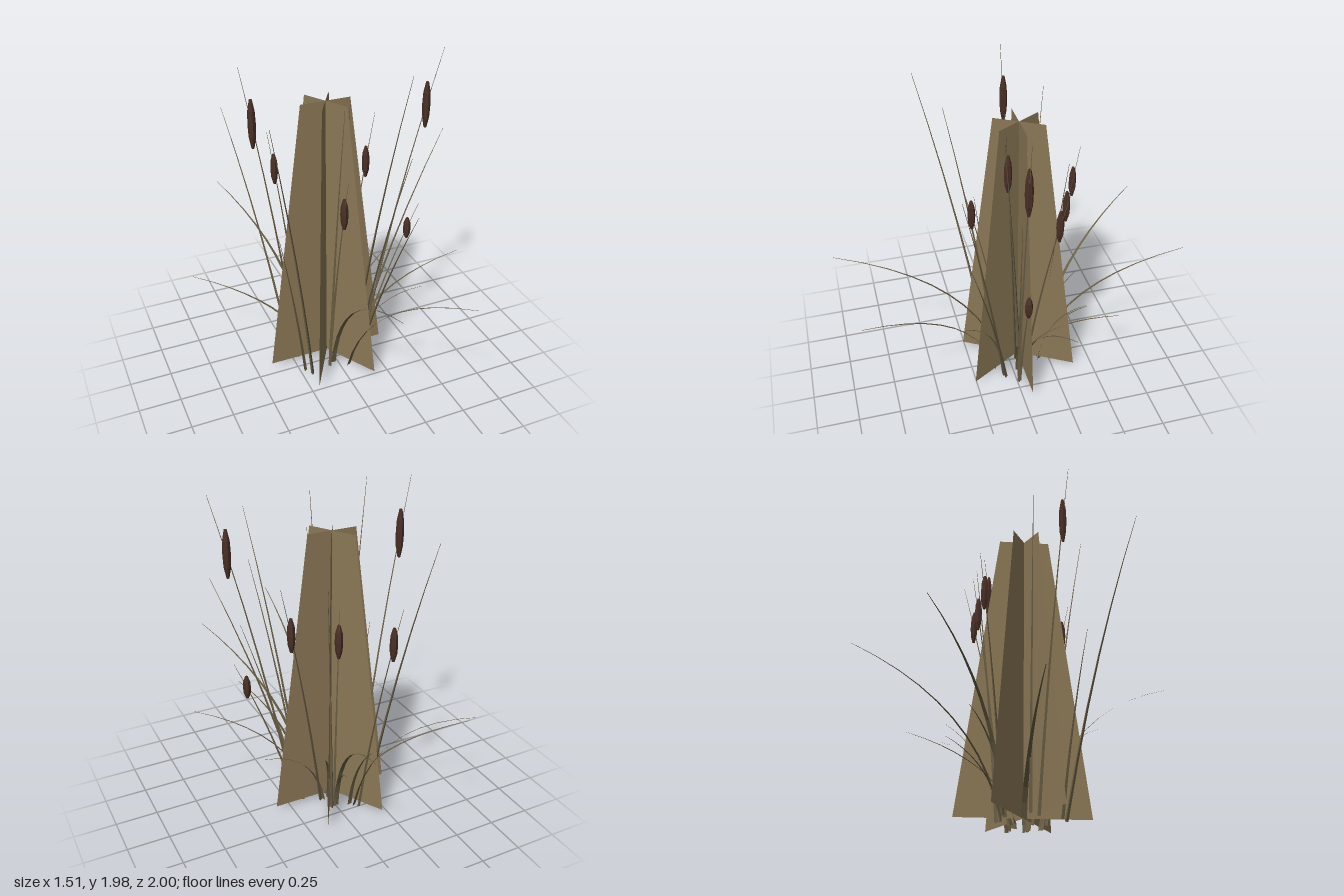
import * as THREE from 'three';

const mat = (color) => new THREE.MeshStandardMaterial({ color, side: THREE.DoubleSide, flatShading: true });
const cardMat = mat(0x8b7856);
const bladeMat = mat(0x6b5f45);
const headMat = mat(0x4a3026);

// Curve from the ground to a tip; (h, v) set how far the bend leans and rises
function stalkCurve([bx, bz], [tx, ty, tz], h, v) {
  return new THREE.QuadraticBezierCurve3(
    new THREE.Vector3(bx, 0, bz),
    new THREE.Vector3(bx + (tx - bx) * h, ty * v, bz + (tz - bz) * h),
    new THREE.Vector3(tx, ty, tz));
}

// Sweeps a tapering section along a curve: 2 sides = flat ribbon, 3 = prism
function taper(curve, sides, radius, steps) {
  const a = curve.getPoint(0), b = curve.getPoint(1);
  const lean = new THREE.Vector3(b.x - a.x, 0, b.z - a.z).normalize();
  const across = new THREE.Vector3(-lean.z, 0, lean.x);
  const pos = [], idx = [];
  for (let i = 0; i <= steps; i++) {
    const t = i / steps;
    const p = curve.getPoint(t);
    const normal = new THREE.Vector3().crossVectors(curve.getTangent(t), across).normalize();
    const r = radius * (1 - 0.9 * t);
    for (let k = 0; k < sides; k++) {
      const ang = (k / sides) * Math.PI * 2;
      const q = p.clone().addScaledVector(across, r * Math.cos(ang)).addScaledVector(normal, r * Math.sin(ang));
      pos.push(q.x, q.y, q.z);
    }
  }
  const faces = sides === 2 ? 1 : sides;
  for (let i = 0; i < steps; i++) {
    for (let k = 0; k < faces; k++) {
      const p = i * sides + k, q = i * sides + (k + 1) % sides;
      idx.push(p, q, q + sides, p, q + sides, p + sides);
    }
  }
  const g = new THREE.BufferGeometry();
  g.setAttribute('position', new THREE.Float32BufferAttribute(pos, 3));
  g.setIndex(idx);
  g.computeVertexNormals();
  return g;
}

// Arching leaves: base [x, z], tip [x, y, z]
const ARCHING = [
  [[0, -0.18], [0.22, 0.88, -1.0]],
  [[-0.1, -0.23], [-0.44, 0.91, -0.91]],
  [[-0.12, -0.12], [-0.76, 0.54, -0.445]],
  [[-0.03, 0.05], [-0.075, 0.99, 1.0]],
  [[0.05, 0.11], [0.415, 0.86, 0.915]],
  [[0.1, -0.03], [0.75, 0.7, 0.15]],
  [[0.0, -0.09], [0.27, 0.475, -0.62]],
  [[0.04, -0.09], [0.5, 0.55, -0.277]],
  [[0.0, -0.18], [0.09, 0.43, -0.48]],
  [[0.04, -0.18], [0.2, 0.54, -0.42]],
  [[-0.08, -0.21], [-0.13, 0.54, -0.47]],
  [[0.1, 0.06], [0.38, 0.685, 0.385]],
];

// Upright reeds
const UPRIGHT = [
  [[-0.24, -0.16], [-0.53, 1.66, -0.35]],
  [[-0.22, 0.05], [-0.385, 1.04, 0.12]],
  [[-0.19, 0.1], [-0.515, 1.84, 0.425]],
  [[-0.06, 0.07], [-0.09, 1.83, 0.335]],
  [[0.15, -0.03], [0.4, 1.865, 0.13]],
  [[0.16, -0.02], [0.62, 1.515, 0.1]],
  [[0.12, 0.07], [0.305, 1.49, 0.33]],
  [[0.14, 0.06], [0.38, 1.1, 0.31]],
  [[0.03, -0.19], [0.12, 1.51, -0.3]],
];

// Stems with seed heads: base, tip, head centre height, head length
const CATTAILS = [
  [[-0.21, -0.09], [-0.5, 1.975, -0.08], 1.65, 0.28],
  [[0.2, -0.01], [0.62, 1.975, 0.06], 1.65, 0.27],
  [[0, -0.04], [0.075, 1.74, 0.04], 1.46, 0.23],
  [[0.06, -0.09], [0.36, 1.52, -0.24], 1.23, 0.2],
  [[-0.03, 0], [-0.035, 1.385, 0.265], 1.16, 0.19],
  [[0.01, -0.18], [0.075, 1.42, -0.35], 1.19, 0.2],
  [[-0.12, -0.25], [-0.225, 1.395, -0.49], 1.17, 0.2],
  [[0.19, -0.02], [0.535, 1.01, 0.025], 0.85, 0.14],
];

function seedHead(length) {
  const profile = [[0, -0.5], [0.008, -0.5], [0.02, -0.27], [0.023, 0], [0.02, 0.27], [0.008, 0.5], [0, 0.5]];
  return new THREE.LatheGeometry(profile.map(([r, y]) => new THREE.Vector2(r, y * length)), 6);
}

export function createModel() {
  const model = new THREE.Group();
  model.name = 'reedClump';
  const add = (name, geometry, material, parent = model) => {
    const mesh = new THREE.Mesh(geometry, material);
    mesh.name = name;
    parent.add(mesh);
    return mesh;
  };

  // Three crossed tapering cards through the middle of the clump
  const card = new THREE.Shape([[-0.37, 0.025], [0.37, 0.025], [0.147, 1.725], [-0.147, 1.725]]
    .map(([x, y]) => new THREE.Vector2(x, y)));
  for (let i = 0; i < 3; i++) {
    const mesh = add('crossedCard', new THREE.ShapeGeometry(card), cardMat);
    mesh.position.set(-0.028, 0, -0.06);
    mesh.rotation.y = (i * Math.PI) / 3;
  }

  for (const [base, tip] of ARCHING) {
    add('archingLeaf', taper(stalkCurve(base, tip, 0.16, 0.71), 2, 0.016, 10), bladeMat);
  }
  for (const [base, tip] of UPRIGHT) {
    add('uprightReed', taper(stalkCurve(base, tip, 0.38, 0.52), 3, 0.011, 6), bladeMat);
  }

  // Seed heads sit on their stems at the given height
  for (const [base, tip, height, length] of CATTAILS) {
    const cattail = new THREE.Group();
    cattail.name = 'cattail';
    model.add(cattail);
    const curve = stalkCurve(base, tip, 0.38, 0.52);
    add('stem', taper(curve, 3, 0.01, 6), bladeMat, cattail);
    let t = 0;
    while (curve.getPoint(t).y < height) t += 0.005;
    add('seedHead', seedHead(length), headMat, cattail).position.copy(curve.getPoint(t));
  }
  return model;
}
